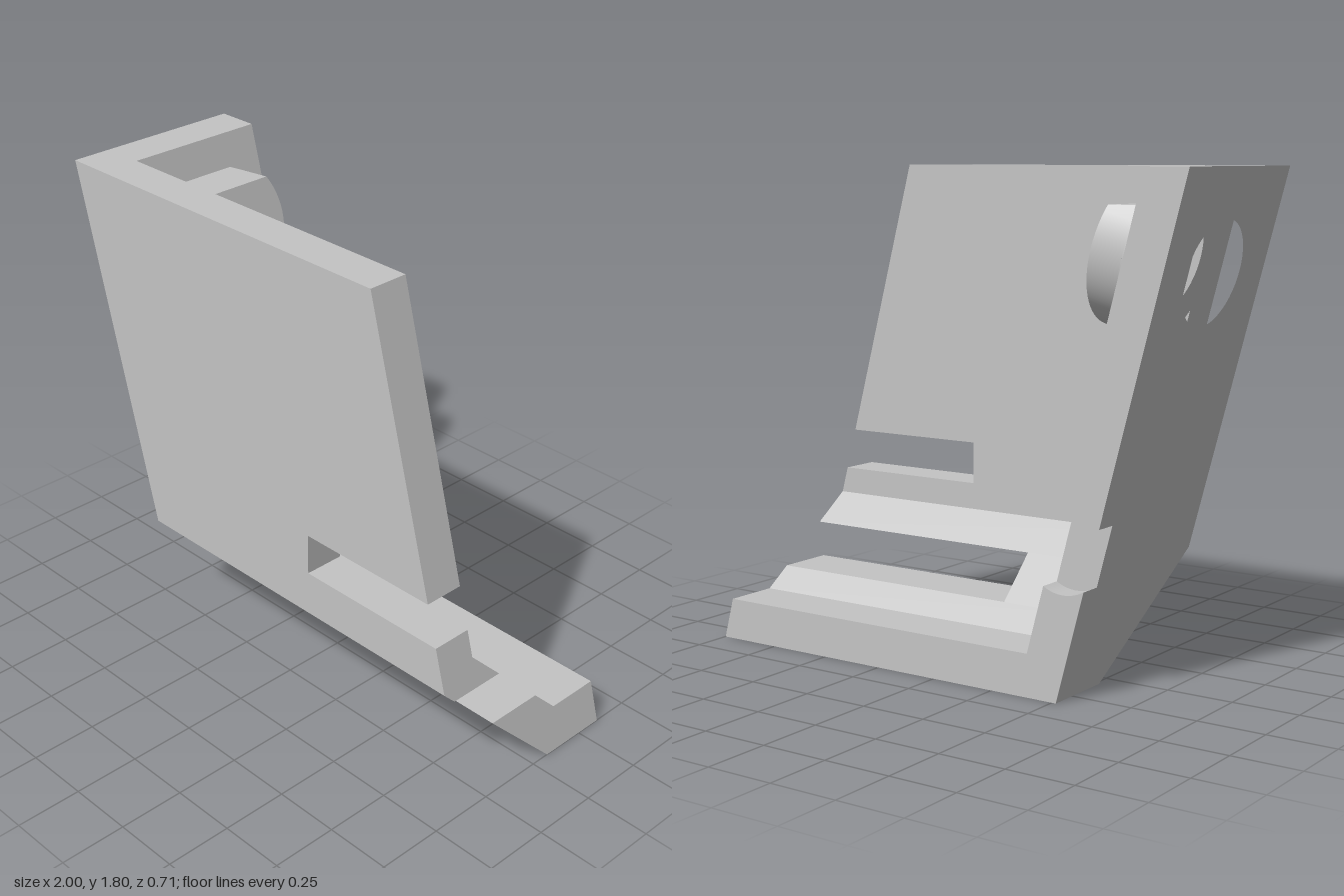
import * as THREE from 'three';
import { toCreasedNormals } from 'three/addons/utils/BufferGeometryUtils.js';

const TILT = Math.PI / 12, K = Math.tan(TILT), COS = Math.cos(TILT), SIN = Math.sin(TILT);
const LEFT = -0.516, INNER = -0.356, RIGHT = 1.0, HEIGHT = 1.805;
const grey = new THREE.MeshStandardMaterial({ color: 0xc4c4c4 });
grey.name = 'plainGrey';

// Extrude a [z, y] outline along +x for unit depth, then place each vertex by a rule(x, y, z) => [x, y, z]
function extrudeX(name, outline, rule, { hole, steps = 1 } = {}) {
  const toShape = ([z, y]) => new THREE.Vector2(-z, y);
  const shape = new THREE.Shape(outline.map(toShape));
  if (hole) shape.holes.push(new THREE.Path(hole.map(toShape)));
  const geo = new THREE.ExtrudeGeometry(shape, { depth: 1, steps, bevelEnabled: false });
  geo.rotateY(Math.PI / 2);
  const p = geo.attributes.position;
  for (let i = 0; i < p.count; i++) p.setXYZ(i, ...rule(p.getX(i), p.getY(i), p.getZ(i)));
  const mesh = new THREE.Mesh(toCreasedNormals(geo, 0.5), grey);
  mesh.name = name;
  return mesh;
}

// Points of an arc in [z, y]
function arc(cz, cy, rz, ry, from = 0, to = Math.PI * 2, n = 48, closed = true) {
  return Array.from({ length: n }, (_, i) => {
    const a = from + (to - from) * i / (closed ? n : n - 1);
    return [cz + rz * Math.cos(a), cy + ry * Math.sin(a)];
  });
}

export function createModel() {
  const model = new THREE.Group();
  model.name = 'slantedBracket';

  // Front wall, chamfer and foot as stacked bands; slotted bands stop at a vertical end
  const bands = [
    ['foot', [[-0.355, 0], [-0.075, 0], [0.16, 0.235], [-0.065, 0.235], [-0.145, 0.155], [-0.355, 0.155]]],
    ['lowerSlotBand', [[-0.065, 0.235], [0.16, 0.235], [0.315, 0.39], [0.09, 0.39]], -0.105],
    ['middleBand', [[0.09, 0.39], [0.315, 0.39], [0.355, 0.43], [0.355, 0.6], [0.2, 0.6], [0.2, 0.5]]],
    ['upperSlotBand', [[0.2, 0.6], [0.355, 0.6], [0.355, 0.757], [0.2, 0.757]], 0.22],
    ['frontWall', [[0.2, 0.757], [0.355, 0.757], [0.355, HEIGHT], [0.2, HEIGHT]]],
  ];
  for (const [name, outline, end] of bands) {
    model.add(extrudeX(name, outline, (x, y, z) =>
      [x < 0.5 ? INNER - K * y : end ?? RIGHT - K * y, y, z]));
  }

  // Tilted side wall with a socket hole square to it and a round notch in the rear edge
  const axisZ = -0.01, axisY = 1.535, bossLength = 0.165, thickness = INNER - LEFT;
  const socketR = 0.188, midY = axisY - (bossLength + thickness * COS / 2) * SIN;
  const notchY = 0.539, notchR = 0.16;
  const wall = [
    [-0.355, 0], [-0.075, 0], [0.355, 0.43], [0.355, HEIGHT], [-0.355, HEIGHT],
    [-0.355, 0.7], [-0.27, 0.7], [-0.27, 0.4], [-0.355, 0.4],
  ];
  model.add(extrudeX('sideWall', wall, (x, y, z) => {
    const d = x * thickness;
    if (z < -0.26 && y > 0.3 && y < 0.8) {
      const s = d * COS - 0.113;
      y = notchY + s * SIN + Math.sign(y - 0.55) * Math.sqrt(notchR ** 2 - s ** 2) * COS;
    } else if (Math.hypot(z - axisZ, y - midY) < 0.22) {
      y += (x - 0.5) * thickness * COS * SIN;
    }
    return [LEFT + d - K * y, y, z];
  }, { hole: arc(axisZ, midY, socketR, socketR * COS), steps: 10 }));

  // Boss square to the side wall, with a level flat on top
  const boss = new THREE.Group();
  boss.name = 'boss';
  boss.position.set(-0.6, axisY, axisZ);
  boss.rotation.z = TILT;
  const bossR = 0.28, flat = 0.15;
  const topAt = u => flat - u * K;
  const bossPart = (name, u0, u1, holeR) => {
    const cut = topAt(u1), a = Math.asin(cut / bossR);
    const outline = arc(0, 0, bossR, bossR, Math.PI - a, Math.PI * 2 + a, 48, false);
    boss.add(extrudeX(name, outline, (x, y, z) => {
      const u = u0 + (u1 - u0) * x;
      if (y > cut - 0.0005 && Math.hypot(y, z) > bossR - 0.01) {
        y = topAt(u);
        z = Math.sign(z) * Math.sqrt(bossR ** 2 - y ** 2);
      }
      return [u, y, z];
    }, { hole: arc(0, 0, holeR, holeR) }));
  };
  bossPart('bossFace', -0.12, 0, 0.105);
  bossPart('bossSocket', -bossLength, -0.12, 0.181);
  model.add(boss);

  return model;
}
